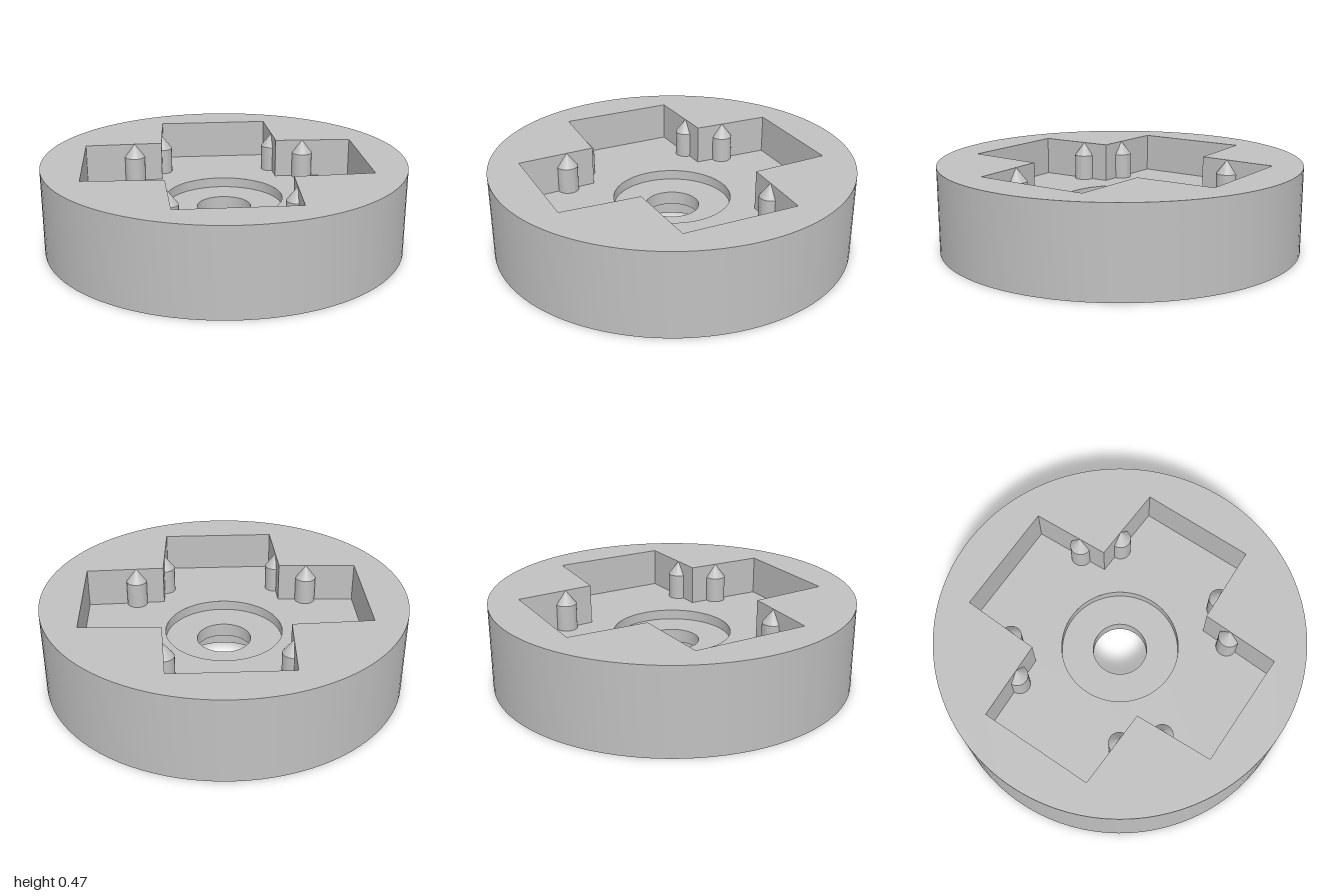
import * as THREE from 'three';
import { toCreasedNormals } from 'three/addons/utils/BufferGeometryUtils.js';

const TOP = 0.475, FLOOR = 0.255, RECESS = 0.2, BORE = 0.125;
const SEGMENTS = 96;

const lathe = (points, segments, start = 0, length = Math.PI * 2) =>
  toCreasedNormals(
    new THREE.LatheGeometry(points.map(([r, y]) => new THREE.Vector2(r, y)), segments, start, length),
    0.5
  );

// Counter-clockwise outline of the diagonal cross pocket: one quarter, turned four times
function crossOutline() {
  const quarter = [[0.475, 0], [0.77, 0.32], [0.32, 0.77]];
  const points = [];
  for (let k = 0; k < 4; k++) {
    for (const [x, y] of quarter) {
      points.push(new THREE.Vector2(x, y).rotateAround(new THREE.Vector2(), k * Math.PI / 2));
    }
  }
  return points;
}

// Flat face lying at a given height, looking up
function flatFace(shape, height) {
  return new THREE.ShapeGeometry(shape, SEGMENTS).rotateX(-Math.PI / 2).translate(0, height, 0);
}

// Upright walls along an outline, facing inwards
function pocketWalls(outline, bottom, top) {
  const positions = [];
  outline.forEach((a, i) => {
    const b = outline[(i + 1) % outline.length];
    const a0 = [a.x, bottom, -a.y], a1 = [a.x, top, -a.y];
    const b0 = [b.x, bottom, -b.y], b1 = [b.x, top, -b.y];
    positions.push(...a0, ...a1, ...b1, ...a0, ...b1, ...b0);
  });
  const geometry = new THREE.BufferGeometry();
  geometry.setAttribute('position', new THREE.Float32BufferAttribute(positions, 3));
  geometry.computeVertexNormals();
  return geometry;
}

export function createModel() {
  const model = new THREE.Group();
  model.name = 'roundHolder';
  const grey = new THREE.MeshStandardMaterial({ color: 0xc0c0c0 });
  grey.name = 'grey';

  const add = (geometry, name, parent = model) => {
    const mesh = new THREE.Mesh(geometry, grey);
    mesh.name = name;
    parent.add(mesh);
    return mesh;
  };

  // Turned body: centre recess, through hole, counterbore, underside and rim
  add(lathe([
    [0.325, FLOOR], [0.325, RECESS], [0.15, RECESS], [0.15, BORE],
    [0.275, BORE], [0.275, 0], [1, 0], [1, TOP],
  ], SEGMENTS), 'body');

  // Top face with the cross cut out
  const outline = crossOutline();
  const disc = new THREE.Shape().absarc(0, 0, 1, 0, Math.PI * 2);
  disc.holes.push(new THREE.Path(outline).closePath());
  add(flatFace(disc, TOP), 'topFace');

  // Pocket floor around the centre recess, and pocket walls
  const floor = new THREE.Shape(outline);
  floor.holes.push(new THREE.Path().absarc(0, 0, 0.325, 0, Math.PI * 2, true));
  add(flatFace(floor, FLOOR), 'pocketFloor');
  add(pocketWalls(outline, FLOOR, TOP), 'pocketWalls');

  // Pointed half-round pins, two on the walls beside each notch
  const pinGeometry = lathe([[0.058, FLOOR], [0.058, 0.4], [0, TOP]], 20, 0, Math.PI);
  const facing = Math.atan2(0.295, -0.32);
  for (let k = 0; k < 4; k++) {
    const pair = new THREE.Group();
    pair.name = 'pinPair';
    pair.rotation.y = k * Math.PI / 2;
    for (const side of [1, -1]) {
      const pin = add(pinGeometry, 'pin', pair);
      pin.position.set(0.581, 0, -side * 0.115);
      pin.rotation.y = side * facing;
    }
    model.add(pair);
  }
  return model;
}
